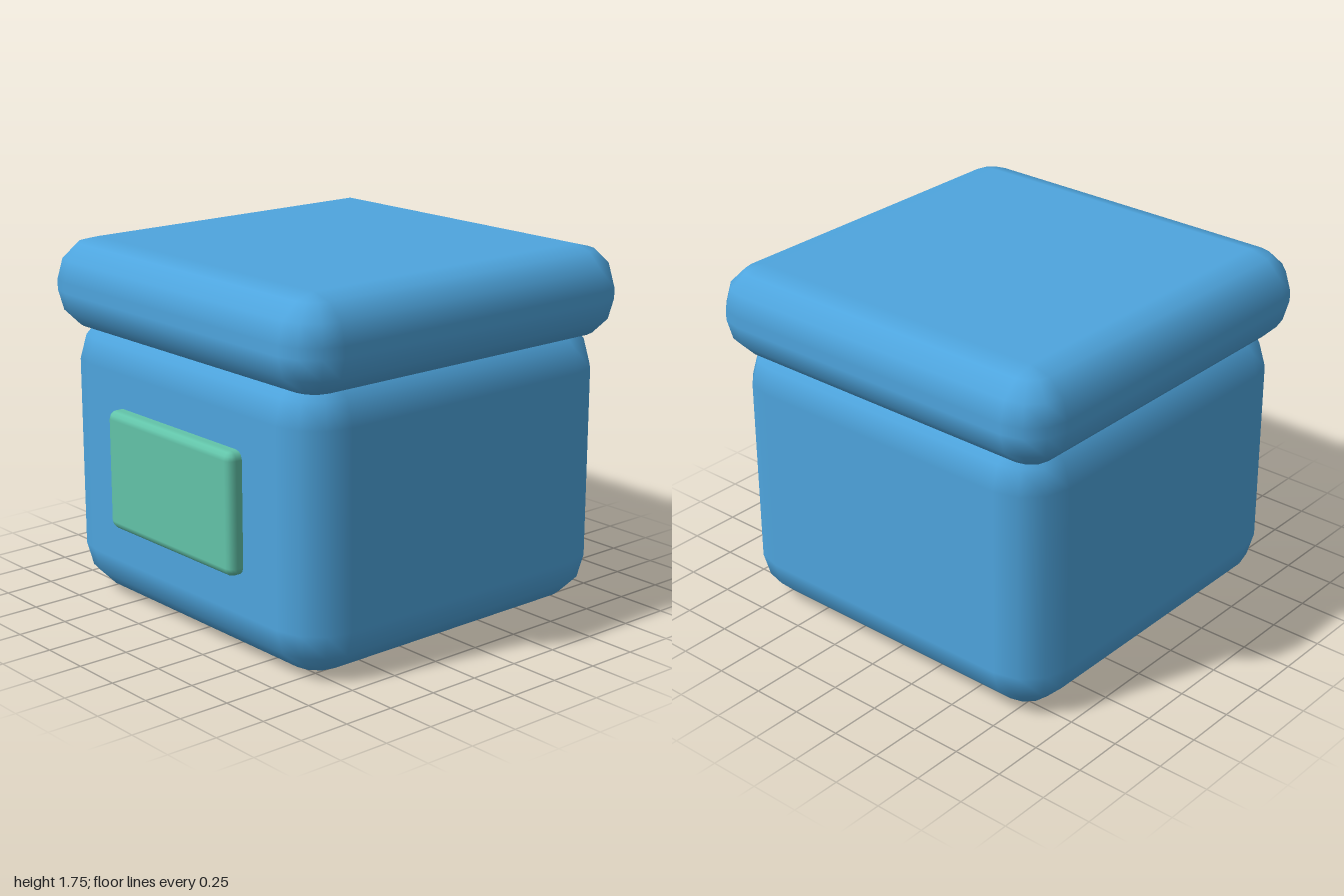
import * as THREE from 'three';

// Box with round edges, each made of `steps` segments, from a sphere pulled apart at its quadrants
function roundedBox(w, h, d, r, steps = 3) {
  const perCorner = steps + 1;
  const cols = 4 * perCorner;
  const rows = 2 * steps + 3; // centre, bevel, belt, bevel, centre
  const geo = new THREE.SphereGeometry(r, cols, rows - 1);
  const grid = rows;
  const full = new THREE.SphereGeometry(r, cols, grid);
  geo.dispose();
  const pos = full.attributes.position;
  const nor = full.attributes.normal;
  const quarter = Math.PI / 2;
  for (let iy = 0; iy <= grid; iy++) {
    const centre = iy === 0 || iy === grid;
    const upper = iy <= perCorner;
    const step = Math.min(Math.max(upper ? iy - 1 : iy - 2, 0), 2 * steps);
    const v = (step / steps) * quarter;
    for (let ix = 0; ix <= cols; ix++) {
      const corner = Math.floor(ix / perCorner) % 4;
      const u = (corner + (ix % perCorner) / steps) * quarter;
      const mid = (corner + 0.5) * quarter;
      const n = new THREE.Vector3(-Math.cos(u) * Math.sin(v), Math.cos(v), Math.sin(u) * Math.sin(v));
      const i = iy * (cols + 1) + ix;
      const spread = centre ? 0 : 1;
      pos.setXYZ(i,
        spread * (n.x * r - Math.sign(Math.cos(mid)) * (w / 2 - r)),
        n.y * r + (upper ? 1 : -1) * (h / 2 - r),
        spread * (n.z * r + Math.sign(Math.sin(mid)) * (d / 2 - r)));
      nor.setXYZ(i, n.x, n.y, n.z);
    }
  }
  return full;
}

export function createModel() {
  const group = new THREE.Group();
  group.name = 'lidded box';

  const blue = new THREE.MeshStandardMaterial({ color: 0x4ea5de });
  blue.name = 'blue';
  const green = new THREE.MeshStandardMaterial({ color: 0x62c4a9 });
  green.name = 'green';

  const add = (name, geometry, material, y, z) => {
    const mesh = new THREE.Mesh(geometry, material);
    mesh.name = name;
    mesh.position.set(0, y, z);
    group.add(mesh);
  };

  // Body, overhanging lid and front label plate
  add('body', roundedBox(1.87, 1.405, 1.87, 0.235), blue, 0.7025, -0.005);
  add('lid', roundedBox(1.99, 0.45, 1.99, 0.2), blue, 1.53, -0.005);
  add('label', roundedBox(0.935, 0.58, 0.11, 0.04), green, 0.715, 0.945);

  return group;
}
